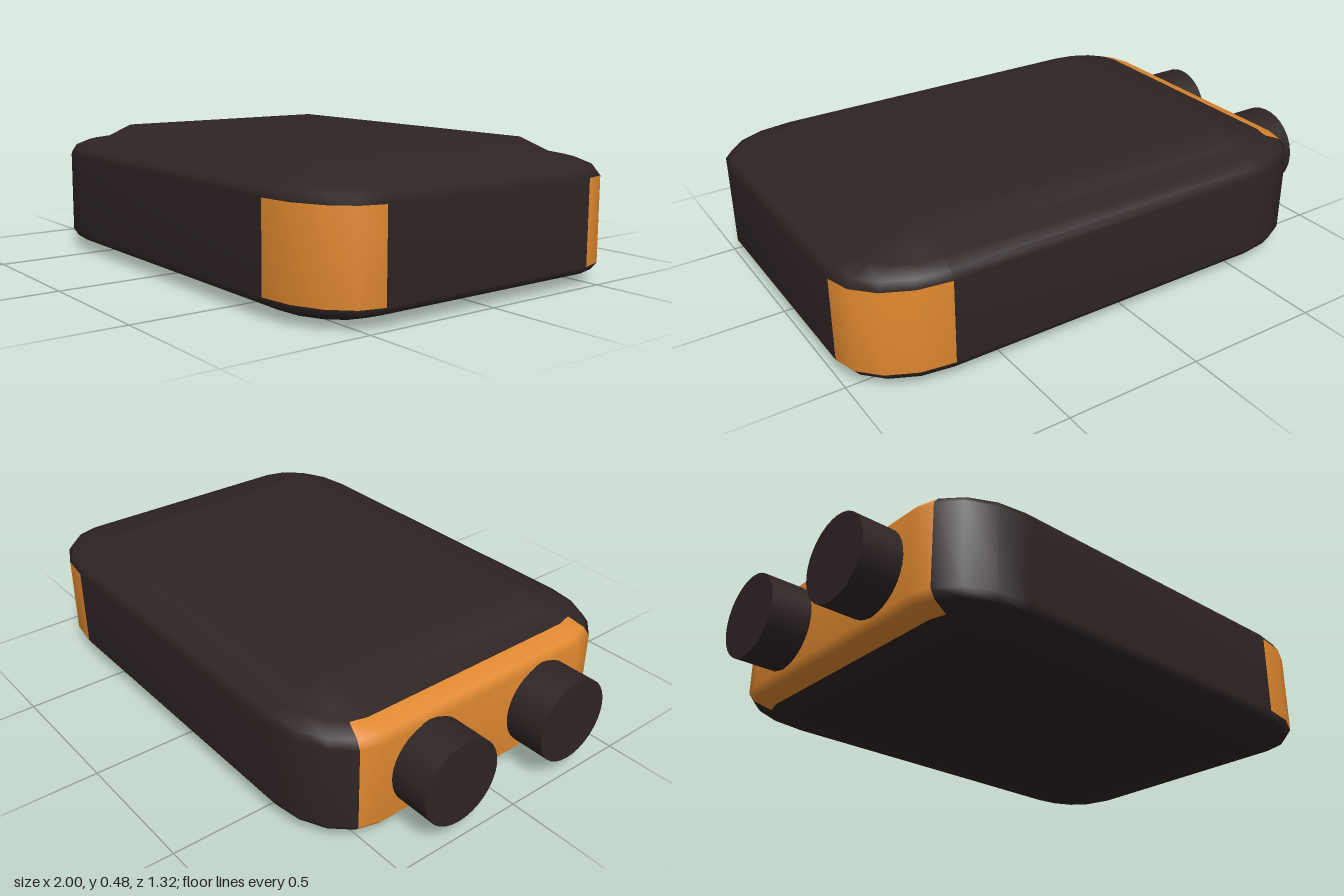
import * as THREE from 'three';
import { mergeVertices } from 'three/addons/utils/BufferGeometryUtils.js';

const dark = new THREE.MeshStandardMaterial({ name: 'darkShell', color: 0x2f2424 });
const orange = new THREE.MeshStandardMaterial({ name: 'orangeTrim', color: 0xe0882f });

const STEPS = 4;             // segments per rounded corner
const PER = STEPS + 1;       // points per corner
const COUNT = PER * 4;       // points per ring
const RZ = 0.22, CZ = 0.44;  // corner radius and centre in z

// One horizontal ring of the rounded box; scale shrinks only the corner radii
function ring(y, scale) {
  const points = [];
  for (let k = 0; k < 4; k++) {
    const right = k === 0 || k === 3;
    const cx = right ? 0.69 : -0.55;
    const rx = right ? 0.31 : 0.3;
    const cz = k < 2 ? CZ : -CZ;
    for (let s = 0; s <= STEPS; s++) {
      const a = (k + s / STEPS) * Math.PI / 2;
      points.push(cx + rx * scale * Math.cos(a), y, cz + RZ * scale * Math.sin(a));
    }
  }
  return points;
}

// Orange covers the two front-end corners and the whole pipe end
function isOrange(row, i) {
  const corner = Math.floor(i / PER);
  const cornerPatch = row === STEPS && (corner === 0 || corner === 3) && i % PER < STEPS;
  const endPanel = row >= 2 && row <= 6 && i >= 2 * PER - 2 && i <= 2 * PER;
  return cornerPatch || endPanel;
}

function bodyGeometry() {
  const positions = [];
  // Lower rounding, then upper rounding ending in a raised flat top
  for (let j = 0; j <= STEPS; j++) {
    const a = (1 - j / STEPS) * Math.PI / 2;
    positions.push(...ring(0.07 - 0.07 * Math.sin(a), Math.cos(a)));
  }
  for (let j = 0; j <= STEPS; j++) {
    const a = (j / STEPS) * Math.PI / 2;
    positions.push(...ring(j === STEPS ? 0.483 : 0.37 + 0.07 * Math.sin(a), Math.cos(a)));
  }

  const faces = [[], []];
  const rows = 2 * STEPS + 1;
  for (let j = 0; j < rows; j++) {
    for (let i = 0; i < COUNT; i++) {
      const n = (i + 1) % COUNT;
      const a = j * COUNT + i, b = a + COUNT;
      const c = (j + 1) * COUNT + n, d = j * COUNT + n;
      faces[isOrange(j, i) ? 1 : 0].push(a, b, c, a, c, d);
    }
  }
  // Flat bottom and top
  const t = rows * COUNT;
  faces[0].push(0, PER, 2 * PER, 0, 2 * PER, 3 * PER);
  faces[0].push(t, t + 2 * PER, t + PER, t, t + 3 * PER, t + 2 * PER);

  let geometry = new THREE.BufferGeometry();
  geometry.setAttribute('position', new THREE.Float32BufferAttribute(positions, 3));
  geometry.setIndex([...faces[0], ...faces[1]]);
  geometry = mergeVertices(geometry);
  geometry.clearGroups();
  geometry.addGroup(0, faces[0].length, 0);
  geometry.addGroup(faces[0].length, faces[1].length, 1);
  geometry.computeVertexNormals();
  return geometry;
}

export function createModel() {
  const group = new THREE.Group();
  group.name = 'roundedCase';

  const body = new THREE.Mesh(bodyGeometry(), [dark, orange]);
  body.name = 'body';
  group.add(body);

  // Two stub pipes on the end panel
  const pipe = new THREE.CylinderGeometry(0.154, 0.154, 0.2, 32).rotateZ(Math.PI / 2);
  for (const side of [1, -1]) {
    const mesh = new THREE.Mesh(pipe, dark);
    mesh.name = side > 0 ? 'frontPipe' : 'backPipe';
    mesh.position.set(-0.9, 0.222, side * 0.257);
    group.add(mesh);
  }
  return group;
}
